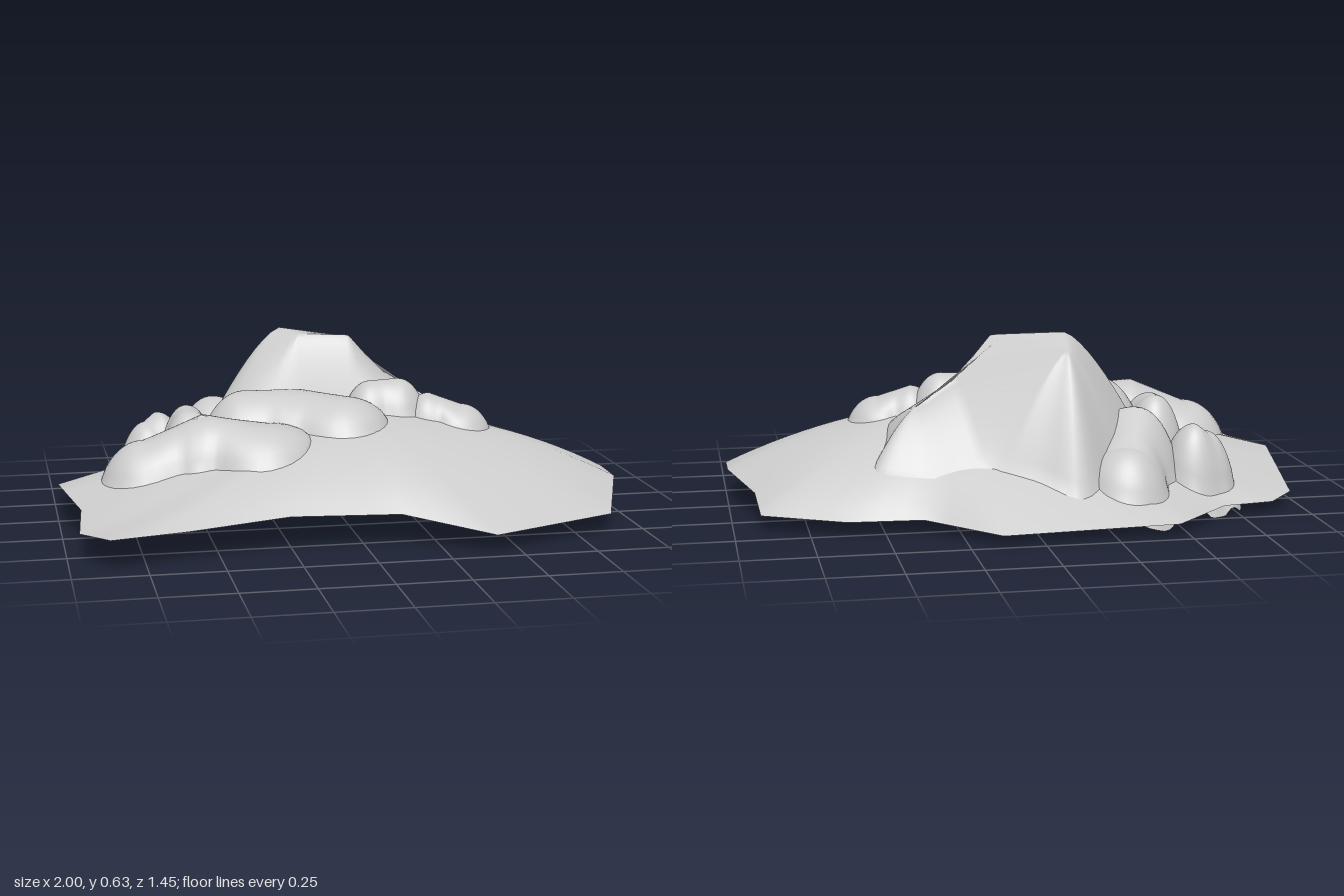
import * as THREE from 'three';
import { mergeVertices } from 'three/addons/utils/BufferGeometryUtils.js';

const material = new THREE.MeshStandardMaterial({ color: 0xcccccc, side: THREE.DoubleSide });
const lerp = THREE.MathUtils.lerp;

// Ground rim corners [x, y, z], running right, front, left, back
const RIM = [
  [1, 0.125, 0.04], [1, 0.12, 0.19], [0.875, 0.065, 0.52], [0.41, 0.065, 0.72], [0.12, 0.11, 0.56],
  [-0.26, 0.12, 0.56], [-0.61, 0.105, 0.63], [-0.87, 0.11, 0.71], [-0.96, 0.1, 0.57],
  [-0.94, 0.12, 0.33], [-1, 0.14, 0.02], [-0.97, 0.05, -0.35], [-0.87, 0.04, -0.45],
  [-0.68, 0.045, -0.5], [-0.46, 0.045, -0.72], [0.14, 0.035, -0.73], [0.375, 0.05, -0.53],
  [0.63, 0.05, -0.515], [0.91, 0.06, -0.41], [0.92, 0.1, -0.24],
];
const CX = 0.1, CZ = 0, CREST = 0.355;

// Height from the rim height and the share t of the way to the rim: oval contours inside, rim-shaped outside
function groundHeight(x, z, rimY, t) {
  const oval = Math.hypot((x - CX) / 0.97, (z - CZ) / 0.67);
  const s = Math.min(lerp(oval, t, t * t), 1);
  return rimY + (CREST - rimY) * (1 - Math.pow(s, 1.8));
}

// Height of the ground sheet at any x, z
function groundAt(x, z) {
  const dx = x - CX, dz = z - CZ;
  for (let i = 0; i < RIM.length; i++) {
    const a = RIM[i], b = RIM[(i + 1) % RIM.length];
    const ax = a[0] - CX, az = a[2] - CZ, ex = b[0] - a[0], ez = b[2] - a[2];
    const det = dx * ez - dz * ex;
    if (Math.abs(det) < 1e-9) continue;
    const s = (ax * ez - az * ex) / det;      // ray length to the rim
    const u = (ax * dz - az * dx) / det;      // place along this rim side
    if (s > 0 && u >= 0 && u <= 1) return groundHeight(x, z, lerp(a[1], b[1], u), Math.min(1 / s, 1));
  }
  return CREST;
}

// Skin a list of closed rings, innermost first, facing up
function skin(name, rings) {
  const n = rings[0].length, index = [];
  for (let r = 0; r < rings.length - 1; r++) {
    for (let i = 0; i < n; i++) {
      const j = (i + 1) % n, a = r * n + i, b = r * n + j, c = a + n, d = b + n;
      index.push(a, b, c, b, d, c);
    }
  }
  let g = new THREE.BufferGeometry();
  g.setAttribute('position', new THREE.Float32BufferAttribute(rings.flat(2), 3));
  g.setIndex(index);
  g = mergeVertices(g, 1e-4);
  g.computeVertexNormals();
  const mesh = new THREE.Mesh(g, material);
  mesh.name = name;
  return mesh;
}

function makeGround() {
  const edge = RIM.flatMap((a, i) => {
    const b = RIM[(i + 1) % RIM.length];
    return [0, 1 / 3, 2 / 3].map((u) => a.map((v, k) => lerp(v, b[k], u)));
  });
  const rings = [];
  for (let r = 0; r <= 16; r++) {
    const t = r / 16;
    rings.push(edge.map(([ex, ey, ez]) => {
      const x = lerp(CX, ex, t), z = lerp(CZ, ez, t);
      return [x, groundHeight(x, z, ey, t), z];
    }));
  }
  return skin('ground', rings);
}

// Closest point on a spine, measured from above
function onSpine(spine, x, z) {
  let best, bestD = Infinity;
  for (let i = 0; i < spine.length - 1; i++) {
    const a = spine[i], b = spine[i + 1], ex = b[0] - a[0], ez = b[2] - a[2];
    const u = THREE.MathUtils.clamp(((x - a[0]) * ex + (z - a[2]) * ez) / (ex * ex + ez * ez), 0, 1);
    const p = a.map((v, k) => lerp(v, b[k], u));
    const d = Math.hypot(p[0] - x, p[2] - z);
    if (d < bestD) { bestD = d; best = p; }
  }
  return best.slice(0, 3);
}

const middle = (spine) => [0, 1, 2].map((k) => spine.reduce((s, p) => s + p[k], 0) / spine.length);

// Foot outline around circles [x, y, z, radius] set along a spine, with softened creases
function lobedFoot(spine) {
  const n = 60, [mx, , mz] = middle(spine);
  const reach = Array.from({ length: n }, (_, i) => {
    const c = Math.cos(i / n * Math.PI * 2), s = Math.sin(i / n * Math.PI * 2);
    return Math.max(...spine.map(([x, , z, r]) => {
      const along = (x - mx) * c + (z - mz) * s, off = (x - mx) * s - (z - mz) * c;
      return Math.abs(off) < r ? along + Math.sqrt(r * r - off * off) : 0;
    }));
  });
  return reach.map((r, i) => {
    const at = (k) => reach[(i + k + n) % n], a = i / n * Math.PI * 2;
    const soft = (at(-2) + 2 * at(-1) + 3 * r + 2 * at(1) + at(2)) / 9;
    return [mx + soft * Math.cos(a), mz + soft * Math.sin(a)];
  });
}

// Rounded mass from a spine down to its foot, with a ragged open skirt under the ground
function makeMass(name, spine, { foot = lobedFoot(spine), p = 2.2, q = 0.8, skirt = 0.06 } = {}) {
  const [mx, , mz] = middle(spine), centre = onSpine(spine, mx, mz);
  const rings = [foot.map(() => centre)];
  for (let r = 0; r <= 11; r++) {
    const under = r > 10, t = under ? 1.22 : r / 10;
    rings.push(foot.map(([fx, fz], i) => {
      const top = onSpine(spine, fx, fz);
      const x = lerp(top[0], fx, t), z = lerp(top[2], fz, t);
      const y = under ? Math.max(0, groundAt(x, z) - skirt - 0.02 * Math.sin(i * Math.PI / 5))
        : lerp(groundAt(fx, fz) - 0.005, top[1], Math.pow(1 - Math.pow(t, p), q));
      return [x, y, z];
    }));
  }
  return skin(name, rings);
}

// Tall summit: steep in front, long saddle falling to the left
function makePeak() {
  const corners = [[-0.47, -0.2], [-0.43, -0.32], [-0.3, -0.46], [-0.16, -0.6], [0, -0.52], [0.18, -0.45],
    [0.4, -0.42], [0.52, -0.37], [0.47, -0.25], [0.43, -0.1], [0.32, -0.03], [0, -0.05], [-0.2, -0.05], [-0.4, -0.1]];
  const curve = new THREE.CatmullRomCurve3(corners.map(([x, z]) => new THREE.Vector3(x, 0, z)), true, 'centripetal');
  const foot = curve.getPoints(70).slice(0, 70).map((v) => [v.x, v.z]);
  const spine = [[-0.15, 0.585, -0.37], [-0.16, 0.633, -0.26], [-0.1, 0.62, -0.17], [0.08, 0.614, -0.15],
    [0.2, 0.48, -0.2], [0.36, 0.38, -0.24]];
  return makeMass('peak', spine, { foot, p: 1.4, q: 1 });
}

export function createModel() {
  const group = new THREE.Group();
  group.name = 'mountain';
  group.add(
    makeGround(),
    makePeak(),
    makeMass('middleShoulder', [[-0.32, 0.435, -0.06, 0.17], [-0.14, 0.44, -0.02, 0.18], [0.01, 0.425, 0.08, 0.17]]),
    makeMass('frontShoulder', [[-0.7, 0.305, 0.12, 0.16], [-0.5, 0.39, 0.13, 0.16], [-0.3, 0.36, 0.2, 0.18]]),
    makeMass('saddleRock', [[0.14, 0.46, -0.04, 0.1], [0.24, 0.465, -0.04, 0.11]]),
    makeMass('leftRock', [[0.35, 0.415, 0, 0.09], [0.46, 0.375, 0.03, 0.11]]),
    makeMass('backShoulder', [[-0.4, 0.37, -0.33, 0.16], [-0.34, 0.26, -0.49, 0.14]]),
    makeMass('backRock', [[-0.65, 0.28, -0.34, 0.11], [-0.61, 0.31, -0.36, 0.11]]),
    makeMass('sideRock', [[-0.525, 0.375, -0.14, 0.1], [-0.525, 0.37, -0.06, 0.1]]),
  );
  return group;
}
